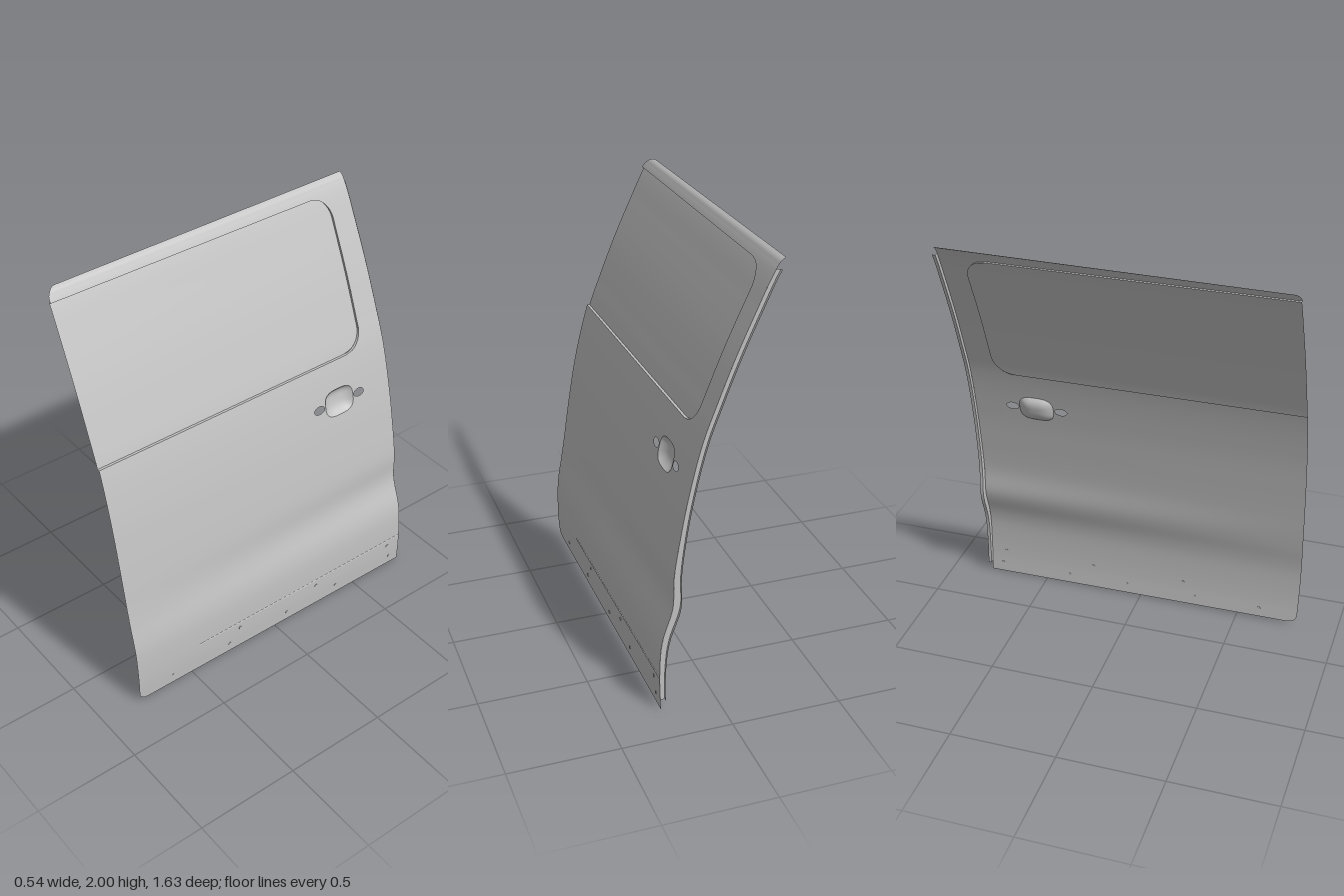
import * as THREE from 'three';

export function createModel() {
  const door = new THREE.Group();
  door.name = 'slidingDoorPanel';
  const metal = new THREE.MeshStandardMaterial({ color: 0xc2c2c2, side: THREE.DoubleSide });
  metal.name = 'bare grey metal';

  // Side profile of the skin: height against outward position
  const heights = [0, 0.1, 0.2, 0.3, 0.36, 0.45, 0.55, 0.65, 0.8, 1.0, 1.26, 1.4, 1.6, 1.8, 1.94, 1.97, 1.99, 2.0];
  const outs = [0.256, 0.261, 0.261, 0.256, 0.248, 0.231, 0.214, 0.199, 0.175, 0.138, 0.072, 0.02, -0.06, -0.15, -0.217, -0.235, -0.25, -0.266];
  const profile = new THREE.CubicInterpolant(heights, outs, 1);
  const skinX = (y, z) => profile.evaluate(THREE.MathUtils.clamp(y, 0, 2))[0]
    + 0.006 * z * Math.min(1, y)
    - 0.02 * Math.exp(-(((y - 0.5) / 0.1) ** 2)) * (0.8 - z) / 1.6;

  // Outline of the door
  const TOP = 1.94, SILL = 1.265, WINDOW_REAR = -0.65;
  const cornerInset = (d, r) => (d >= r ? 0 : r - Math.sqrt(Math.max(0, r * r - (r - d) ** 2)));
  const rear = (y) => -0.8 + 0.0175 * y;
  const front = (y) => 0.818 - 0.01 * ((y - 1.2) / 0.9) ** 2 - cornerInset(y, 0.045) - cornerInset(2 - y, 0.05);
  const windowRear = (y) => WINDOW_REAR + cornerInset(Math.min(y - SILL, TOP - y), 0.1);

  // Place a point given by z, height and offset from the skin
  const place = (z, y, off) => {
    const lift = -0.009 * Math.max(0, (y - TOP) / 0.06) * (z + 0.77)
      + 0.006 * (z + 0.8) * Math.max(0, 1 - y / 0.16);
    return [skinX(y, z) + off, y + lift, z];
  };
  const skinNormal = (y, z) => {
    const e = 0.004, y0 = Math.max(0, y - e), y1 = Math.min(2, y + e);
    return new THREE.Vector3(1, -(skinX(y1, z) - skinX(y0, z)) / (y1 - y0),
      -(skinX(y, z + e) - skinX(y, z - e)) / (2 * e)).normalize();
  };

  const add = (name, geometry) => {
    const mesh = new THREE.Mesh(geometry, metal);
    mesh.name = name;
    door.add(mesh);
    return mesh;
  };

  // Grid patch; at(u, v) gives [z, y, offset]; onSkin keeps the shading continuous between patches
  const patch = (name, nu, nv, at, onSkin = false) => {
    const pos = [], nor = [], index = [];
    for (let i = 0; i <= nu; i++) for (let j = 0; j <= nv; j++) {
      const [z, y, off] = at(i / nu, j / nv);
      pos.push(...place(z, y, off));
      nor.push(...skinNormal(y, z).toArray());
      if (i < nu && j < nv) {
        const a = i * (nv + 1) + j, b = a + nv + 1;
        index.push(a, b, a + 1, b, b + 1, a + 1);
      }
    }
    const g = new THREE.BufferGeometry();
    g.setAttribute('position', new THREE.Float32BufferAttribute(pos, 3));
    g.setIndex(index);
    if (onSkin) g.setAttribute('normal', new THREE.Float32BufferAttribute(nor, 3));
    else g.computeVertexNormals();
    return add(name, g);
  };
  const panel = (name, y0, y1, rows, zA, zB, off = 0) => patch(name, rows, 16, (u, v) => {
    const y = y0 + (y1 - y0) * u;
    return [THREE.MathUtils.lerp(zA(y), zB(y), v), y, off];
  }, true);

  // Skin, from the bottom up
  const BAND0 = 0.97, BAND1 = 1.17, PATCH0 = -0.65, PATCH1 = -0.29;
  panel('bottomEdge', 0, 0.05, 12, rear, front);
  panel('lowerSkin', 0.05, BAND0, 64, rear, front);
  panel('handleBandRear', BAND0, BAND1, 8, rear, () => PATCH0);
  panel('handleBandFront', BAND0, BAND1, 8, () => PATCH1, front);
  panel('waistSkin', BAND1, SILL, 6, rear, front);
  panel('windowPillar', SILL, TOP, 80, rear, windowRear);
  panel('windowBlank', SILL, TOP, 80, windowRear, front, -0.012);
  panel('topRail', TOP, 2, 24, rear, front);

  // Ledge around the window recess
  const edge = [[front(SILL), SILL]];
  for (let i = 0; i <= 60; i++) {
    const y = SILL + (TOP - SILL) * (0.5 - 0.5 * Math.cos(Math.PI * i / 60));
    edge.push([windowRear(y), y]);
  }
  edge.push([front(TOP), TOP]);
  patch('windowLedge', edge.length - 1, 1, (u, v) => {
    const [z, y] = edge[Math.round(u * (edge.length - 1))];
    return [z, y, -0.012 * (1 - v)];
  });

  // Skin around the handle, with the bowl opening and two lock slots (drawn in -z, y)
  const HZ = -0.474, HY = 1.066;
  const bowlPoint = (a, r) => {
    const c = Math.cos(a), s = Math.sin(a);
    return [HZ + 0.084 * r * Math.sign(c) * Math.abs(c) ** 0.65, HY + 0.065 * r * Math.sign(s) * Math.abs(s) ** 0.65];
  };
  const surround = new THREE.Shape();
  const steps = 8;
  for (let i = 0; i <= steps; i++) surround.lineTo(-PATCH0, BAND0 + (BAND1 - BAND0) * i / steps);
  for (let i = 0; i <= steps; i++) surround.lineTo(-PATCH1, BAND1 - (BAND1 - BAND0) * i / steps);
  surround.curves.shift();
  const ring = [];
  for (let i = 0; i < 40; i++) {
    const [z, y] = bowlPoint(i / 40 * Math.PI * 2, 1);
    ring.push(new THREE.Vector2(-z, y));
  }
  surround.holes.push(new THREE.Path(ring));
  for (const z of [-0.353, -0.593]) {
    const slot = new THREE.Path();
    slot.absellipse(-z, HY, 0.03, 0.019, 0, Math.PI * 2);
    surround.holes.push(slot);
  }
  const surroundGeo = new THREE.ShapeGeometry(surround, 12);
  const p = surroundGeo.attributes.position, n = surroundGeo.attributes.normal;
  for (let i = 0; i < p.count; i++) {
    const z = -p.getX(i), y = p.getY(i);
    p.setXYZ(i, ...place(z, y, 0));
    n.setXYZ(i, ...skinNormal(y, z).toArray());
  }
  add('handleSurround', surroundGeo);

  // Bowl pressed in behind the handle
  patch('handleBowl', 10, 40, (u, v) => {
    const r = 1 - 0.999 * u;
    return [...bowlPoint(v * Math.PI * 2, r), -0.028 * (1 - r ** 3)];
  });

  // Stepped flange along the rear edge: wall going in, then a lip going back
  const depth = (y) => 0.02 + 0.012 * Math.exp(-(((y - 0.5) / 0.25) ** 2));
  const flangeY = (u) => 0.05 + 1.905 * u;
  patch('rearFlangeWall', 60, 1, (u, v) => {
    const y = flangeY(u);
    return [rear(y), y, -depth(y) * (1 - v)];
  });
  patch('rearFlangeLip', 60, 1, (u, v) => {
    const y = flangeY(u);
    return [rear(y) - 0.015 * (1 - v), y, -depth(y)];
  });

  // Trim line and fixings near the bottom
  patch('sillTrimLine', 2, 30, (u, v) => [-0.799 + 1.26 * v, 0.157 + 0.007 * u, 0.003 * Math.sin(Math.PI * u)]);
  const fixings = [[0.61, 0.05], [0.28, 0.05], [-0.07, 0.05], [-0.38, 0.05], [-0.74, 0.05], [0.22, 0.125], [-0.25, 0.125], [-0.72, 0.125]];
  for (const [z, y] of fixings) {
    const fixing = add('sillFixing', new THREE.CylinderGeometry(0.008, 0.008, 0.004, 12));
    fixing.rotation.z = Math.PI / 2;
    fixing.position.set(...place(z, y, 0));
  }

  return door;
}
